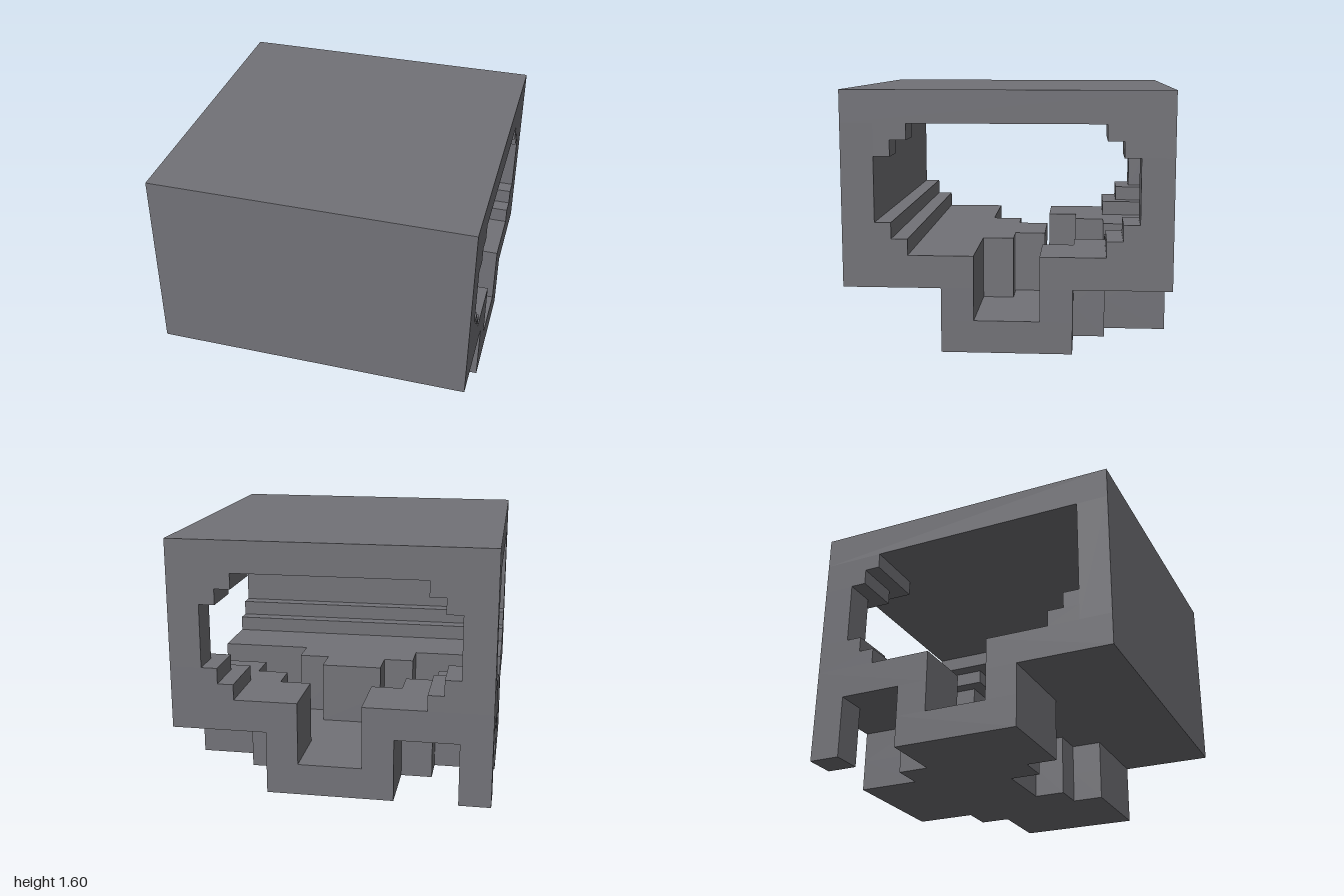
import * as THREE from 'three';

export function createModel() {
  const model = new THREE.Group();
  const grey = new THREE.MeshStandardMaterial({ color: 0x727277 });
  grey.name = 'stone grey';

  // Box given by its x, y and z ranges
  function box(name, x0, x1, y0, y1, z0, z1) {
    const mesh = new THREE.Mesh(new THREE.BoxGeometry(x1 - x0, y1 - y0, z1 - z0), grey);
    mesh.position.set((x0 + x1) / 2, (y0 + y1) / 2, (z0 + z1) / 2);
    mesh.name = name;
    model.add(mesh);
  }
  // The same box on both sides of the centre
  function pair(name, x0, x1, y0, y1, z0, z1) {
    box(name + 'Left', x0, x1, y0, y1, z0, z1);
    box(name + 'Right', -x1, -x0, y0, y1, z0, z1);
  }
  // Plan outline of [x, z] points raised from y0 to y1
  function slab(name, points, y0, y1) {
    const shape = new THREE.Shape(points.map(([x, z]) => new THREE.Vector2(x, -z)));
    const geometry = new THREE.ExtrudeGeometry(shape, { depth: y1 - y0, bevelEnabled: false });
    geometry.rotateX(-Math.PI / 2).translate(0, y0, 0);
    const mesh = new THREE.Mesh(geometry, grey);
    mesh.name = name;
    model.add(mesh);
  }
  const flip = (points) => points.map(([x, z]) => [-x, z]).reverse();

  // Stepped T-shaped floor under the channels
  const footHalf = [[0.2, 0], [0.2, 0.2], [0.4, 0.2], [0.4, 0.4], [1, 0.4], [1, -0.4],
    [0.6, -0.4], [0.6, -0.6], [0.4, -0.6], [0.4, -1]];
  slab('channelFloor', [...footHalf, ...flip(footHalf)], 0, 0.2);

  // Channel walls, stepping diagonally between the arms
  box('channelWallMiddle', -0.2, 0.2, 0.2, 0.4, -0.2, 0);
  pair('channelWallFrontStep', 0.2, 0.4, 0.2, 0.4, 0, 0.2);
  pair('channelWallFront', 0.4, 1, 0.2, 0.4, 0.2, 0.4);
  pair('channelWallSide', 0.6, 1, 0.2, 0.4, -0.4, -0.2);
  pair('channelWallBackStep', 0.4, 0.6, 0.2, 0.4, -0.6, -0.4);
  pair('channelWallBack', 0.2, 0.4, 0.2, 0.4, -1, -0.6);

  // Deck around the channels
  const frontHalf = [[0.2, -0.2], [0.2, 0], [0.4, 0], [0.4, 0.2], [1, 0.2], [1, 1]];
  slab('frontDeck', [...frontHalf, ...flip(frontHalf)], 0.4, 0.6);
  const backDeck = [[1, -0.2], [0.6, -0.2], [0.6, -0.4], [0.4, -0.4], [0.4, -0.6],
    [0.2, -0.6], [0.2, -1], [1, -1]];
  slab('backDeckLeft', backDeck, 0.4, 0.6);
  slab('backDeckRight', flip(backDeck), 0.4, 0.6);

  // Single leg under the back right corner
  box('cornerLeg', -1, -0.8, 0, 0.4, -1, -0.8);

  // Roof and closed front wall
  box('roof', -1, 1, 1.4, 1.6, -1, 1);
  box('frontWall', -1, 1, 0.6, 1.4, 0.8, 1);

  // Steps along the foot of the front wall
  box('lowerFrontStep', -1, 1, 0.6, 0.7, 0.6, 0.8);
  box('upperFrontStep', -1, 1, 0.7, 0.8, 0.7, 0.8);

  // Steps at the upper front corner of the left window
  box('windowCornerStep', 0.8, 1, 1.2, 1.3, 0.7, 0.8);
  box('windowCornerTopStep', 0.8, 1, 1.3, 1.4, 0.6, 0.8);

  // Back corner posts, widening in steps towards deck and roof
  const postLayers = [[0.6, 0.7, 0.4], [0.7, 0.8, 0.3], [0.8, 1.2, 0.2], [1.2, 1.3, 0.3], [1.3, 1.4, 0.4]];
  for (const [y0, y1, w] of postLayers) pair('backPost', 1 - w, 1, y0, y1, -1, -1 + w);

  return model;
}
